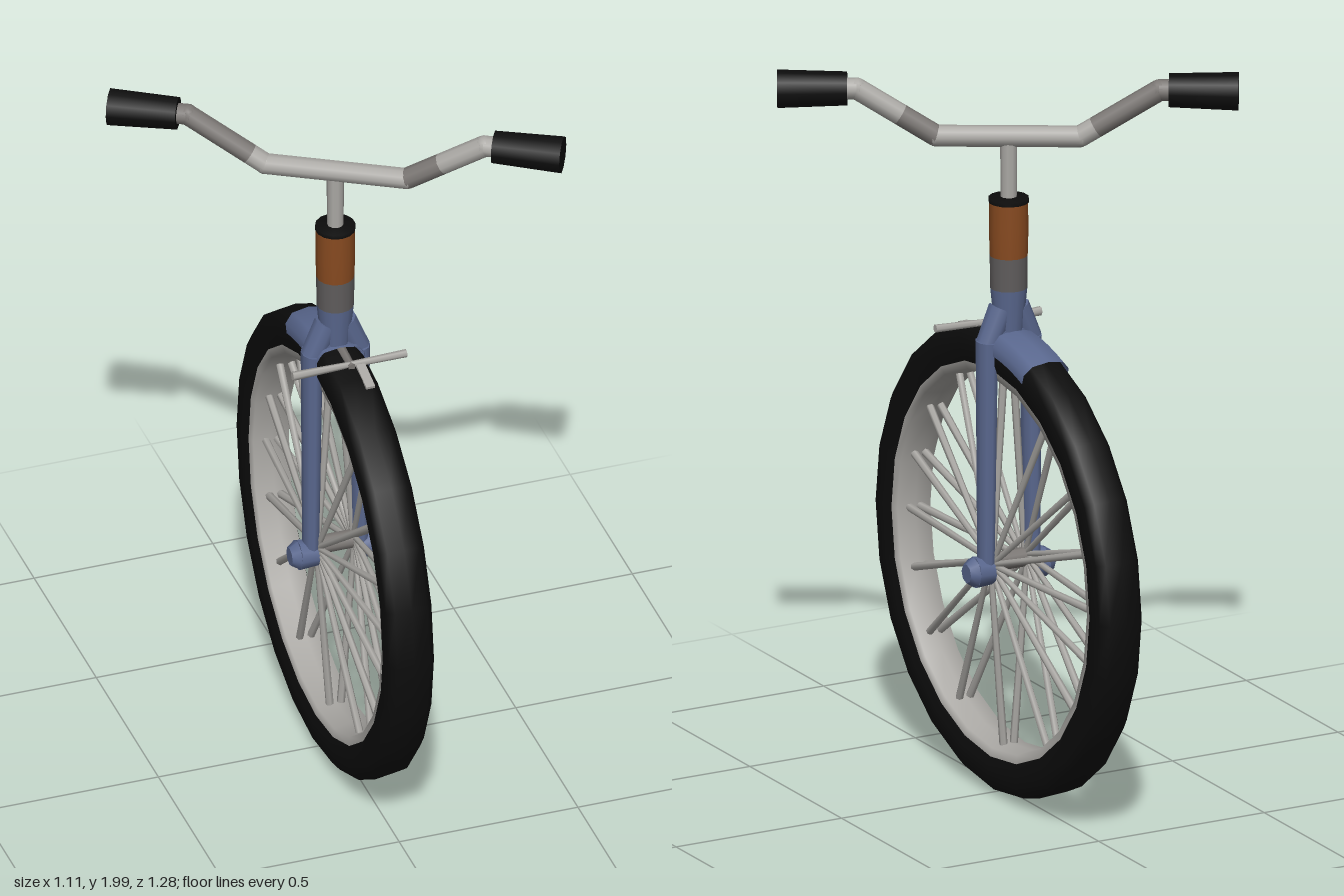
import * as THREE from 'three';

const mat = (name, color, side = THREE.FrontSide) => {
  const m = new THREE.MeshStandardMaterial({ color, side });
  m.name = name;
  return m;
};

export function createModel() {
  const rubber = mat('black rubber', 0x0c0c0c);
  const steel = mat('light steel', 0xaaa8a4);
  const dullSteel = mat('dull steel', 0x7b7774);
  const blue = mat('blue paint', 0x5a688f, THREE.DoubleSide);
  const rust = mat('orange rust', 0x874a20);
  const worn = mat('worn grey paint', 0x5f5c5c);

  const model = new THREE.Group();
  model.name = 'frontWheelAssembly';
  const V = (x, y, z) => new THREE.Vector3(x, y, z);
  const up = V(0, 1, 0);

  const add = (name, geo, material, parent = model) => {
    const mesh = new THREE.Mesh(geo, material);
    mesh.name = name;
    parent.add(mesh);
    return mesh;
  };
  // Tapered rod between two points
  const rod = (name, a, b, ra, rb, sides, material, parent = model) => {
    const d = b.clone().sub(a);
    const mesh = add(name, new THREE.CylinderGeometry(rb, ra, d.length(), sides), material, parent);
    mesh.position.copy(a).add(b).multiplyScalar(0.5);
    mesh.quaternion.setFromUnitVectors(up, d.normalize());
    return mesh;
  };
  const ball = (name, p, r, material, parent) => {
    add(name, new THREE.SphereGeometry(r, 10, 8), material, parent).position.copy(p);
  };
  const profile = pts => pts.map(([r, y]) => new THREE.Vector2(r, y));

  // Wheel, built around the y axis and then turned so its axle lies along x
  const wheel = new THREE.Group();
  wheel.name = 'wheel';
  wheel.rotation.z = -Math.PI / 2;
  wheel.position.set(-0.005, 0.642, 0);
  model.add(wheel);
  const tyre = profile([[0.53, -0.05], [0.565, -0.064], [0.61, -0.064], [0.633, -0.045], [0.64, 0],
    [0.633, 0.045], [0.61, 0.064], [0.565, 0.064], [0.53, 0.05]]);
  add('tyre', new THREE.LatheGeometry(tyre, 24), rubber, wheel);
  const rim = profile([[0.54, 0.055], [0.517, 0.05], [0.51, 0], [0.517, -0.05], [0.54, -0.055]]);
  add('rim', new THREE.LatheGeometry(rim, 24), steel, wheel);
  add('hub', new THREE.CylinderGeometry(0.026, 0.026, 0.16, 10), dullSteel, wheel);

  // Spokes fan out from both hub flanges to the rim
  const quarter = [0, 18, 38, 62];
  const angles = [90, 270];
  for (const a of quarter) {
    angles.push(a, 180 - a);
    if (a) angles.push(-a, 180 + a);
  }
  for (const side of [-1, 1]) {
    for (const deg of angles) {
      const a = THREE.MathUtils.degToRad(deg);
      const h = a + side * 0.25;
      rod('spoke', V(-Math.sin(h) * 0.025, side * 0.05, Math.cos(h) * 0.025),
        V(-Math.sin(a) * 0.52, side * 0.015, Math.cos(a) * 0.52), 0.008, 0.011, 6, steel, wheel);
    }
  }

  // Fork: two tapered blades, shoulders and axle lugs
  const fork = new THREE.Group();
  fork.name = 'fork';
  fork.position.x = -0.005;
  model.add(fork);
  for (const s of [-1, 1]) {
    const blade = rod('forkBlade', V(s * 0.069, 0.62, 0), V(s * 0.066, 1.26, 0), 0.03, 0.039, 10, blue, fork);
    blade.scale.x = 0.72;
    rod('forkShoulder', V(s * 0.064, 1.25, 0), V(s * 0.022, 1.345, 0), 0.033, 0.036, 10, blue, fork);
    rod('axleLug', V(s * 0.055, 0.62, 0), V(s * 0.105, 0.622, 0), 0.037, 0.042, 10, blue, fork);
    rod('axleNut', V(s * 0.105, 0.622, 0), V(s * 0.128, 0.622, 0), 0.042, 0.026, 8, blue, fork);
  }
  rod('forkCrown', V(-0.062, 1.285, 0), V(0.062, 1.285, 0), 0.03, 0.03, 10, blue, fork);

  // Steering column in three painted bands
  const band = (name, pts, material) =>
    add(name, new THREE.LatheGeometry(profile(pts), 14), material, fork);
  band('lowerColumn', [[0.038, 1.28], [0.043, 1.33], [0.05, 1.4]], blue);
  band('middleColumn', [[0.05, 1.4], [0.051, 1.49]], worn);
  band('upperColumn', [[0.051, 1.49], [0.053, 1.56], [0.052, 1.645]], rust);
  band('columnCap', [[0.054, 1.638], [0.054, 1.65], [0.0, 1.655]], rubber);
  rod('stem', V(0, 1.64, 0), V(0, 1.82, 0), 0.022, 0.023, 10, steel, fork);

  // Short mudguard hugging the tyre behind the fork
  const guard = profile([[0.585, -0.068], [0.612, -0.068], [0.637, -0.047], [0.645, 0],
    [0.637, 0.047], [0.612, 0.068], [0.585, 0.068]]);
  // Lathe angle 270 degrees is the top of the wheel
  add('mudguard', new THREE.LatheGeometry(guard, 6, Math.PI * 1.5 - 0.34, 0.41), blue, wheel)
    .scale.set(1.004, 1, 1.004);

  // Thin brake arm across the front of the crown
  const brake = new THREE.Group();
  brake.name = 'brake';
  model.add(brake);
  rod('brakeArm', V(-0.165, 1.275, 0.115), V(0.0, 1.272, 0.108), 0.013, 0.009, 6, steel, brake).scale.z = 0.8;
  rod('brakeArm', V(0.0, 1.272, 0.108), V(0.155, 1.277, 0.112), 0.009, 0.011, 6, steel, brake);
  rod('brakeBolt', V(0, 1.275, 0.02), V(0, 1.27, 0.12), 0.014, 0.01, 6, dullSteel, brake);
  const pad = add('brakePad', new THREE.BoxGeometry(0.025, 0.008, 0.1), steel, brake);
  pad.position.set(0.025, 1.262, 0.15);
  pad.rotation.x = 0.24;

  // Handlebar, turned to one side
  const bars = new THREE.Group();
  bars.name = 'handlebar';
  bars.rotation.y = -Math.PI / 6;
  bars.position.x = -0.003;
  model.add(bars);
  rod('barCentre', V(-0.19, 1.82, 0), V(0.19, 1.82, 0), 0.029, 0.029, 10, steel, bars);
  for (const s of [-1, 1]) {
    const bend = V(s * 0.19, 1.82, 0), top = V(s * 0.4, 1.95, 0);
    const mid = bend.clone().lerp(top, s < 0 ? 0.2 : 0.45);
    const inner = s < 0 ? steel : dullSteel, outer = s < 0 ? dullSteel : steel;
    ball('barBend', bend, 0.029, steel, bars);
    rod('barRiseInner', bend, mid, 0.029, 0.029, 10, inner, bars);
    rod('barRiseOuter', mid, top, 0.029, 0.029, 10, outer, bars);
    ball('barBend', top, 0.029, outer, bars);
    rod('barEnd', top, V(s * 0.46, 1.95, 0), 0.029, 0.029, 10, outer, bars);
    rod('grip', V(s * 0.425, 1.95, 0), V(s * 0.61, 1.948, 0), 0.045, 0.051, 10, rubber, bars);
  }
  return model;
}
